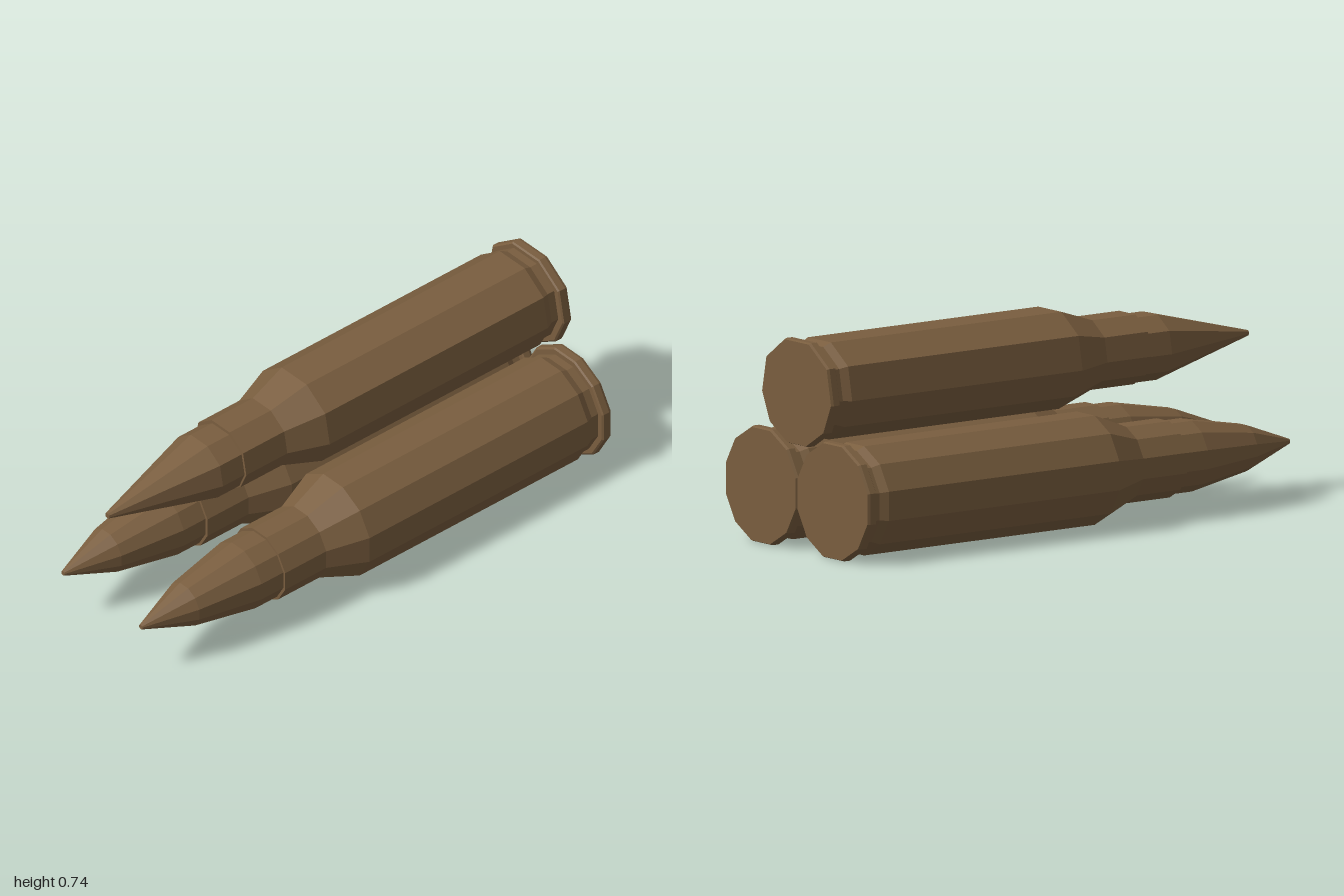
import * as THREE from 'three';

const brass = new THREE.MeshStandardMaterial({ color: 0x7a5e3f, flatShading: true });
brass.name = 'dull brass';

// Sweeps a unit outline (counter-clockwise seen from +z) along z; profile holds [radius, z] pairs from back to front
function turned(name, outline, profile, y = 0) {
  const n = outline.length, rows = profile.length;
  const geo = new THREE.LatheGeometry(profile.map(([r, z]) => new THREE.Vector2(r, z)), n);
  const pos = geo.attributes.position;
  for (let k = 0; k < pos.count; k++) {
    const [ox, oy] = outline[Math.floor(k / rows) % n];
    const [r, z] = profile[k % rows];
    pos.setXYZ(k, ox * r, oy * r, z);
  }
  const flat = geo.toNonIndexed();
  flat.computeVertexNormals();
  const mesh = new THREE.Mesh(flat, brass);
  mesh.name = name;
  mesh.position.y = y;
  return mesh;
}

// Regular twelve-sided outline with flats facing up, down and sideways (flats at distance 1)
const twelve = Array.from({ length: 12 }, (_, i) => {
  const a = (i + 0.5) * Math.PI / 6, r = 1 / Math.cos(Math.PI / 12);
  return [Math.cos(a) * r, Math.sin(a) * r];
});

// Slightly uneven ten-sided outline, mirrored left to right
const half = [[0.275, -0.92], [0.775, -0.615], [1, -0.1], [0.875, 0.535], [0.35, 0.915]];
const ten = [...half, ...[...half].reverse().map(([x, y]) => [-x, y])];

const rimProfile = [[0, -1], [0.2, -1], [0.204, -0.99], [0.204, -0.965], [0.198, -0.96], [0, -0.96]];
const caseProfile = (body) => [
  [0, -0.97], [body - 0.014, -0.97], [body - 0.014, -0.93], [body, -0.9],
  [body, 0.11], [0.135, 0.26], [0.135, 0.45], [0, 0.45],
];

export function createModel() {
  const model = new THREE.Group();
  model.name = 'cartridges';

  // Lower pair with rounded bullets
  for (const side of [-1, 1]) {
    const round = new THREE.Group();
    round.name = side > 0 ? 'leftCartridge' : 'rightCartridge';
    round.add(
      turned('rim', twelve, rimProfile),
      turned('case', twelve, caseProfile(0.193)),
      turned('bullet', twelve, [[0.125, 0.44], [0.125, 0.55], [0.081, 0.8], [0.009, 1], [0, 1]]),
    );
    round.position.set(side * 0.205, 0.204, 0);
    model.add(round);
  }

  // Upper cartridge with a straight pointed bullet
  const top = new THREE.Group();
  top.name = 'topCartridge';
  top.add(
    turned('rim', ten, rimProfile.map(([r, z]) => [r * 0.985, z])),
    turned('case', ten, caseProfile(0.188), 0.005),
    turned('bullet', ten, [[0.126, 0.44], [0.126, 0.55], [0.011, 0.975], [0, 0.975]], 0.001),
  );
  top.position.y = 0.56;
  model.add(top);
  return model;
}
